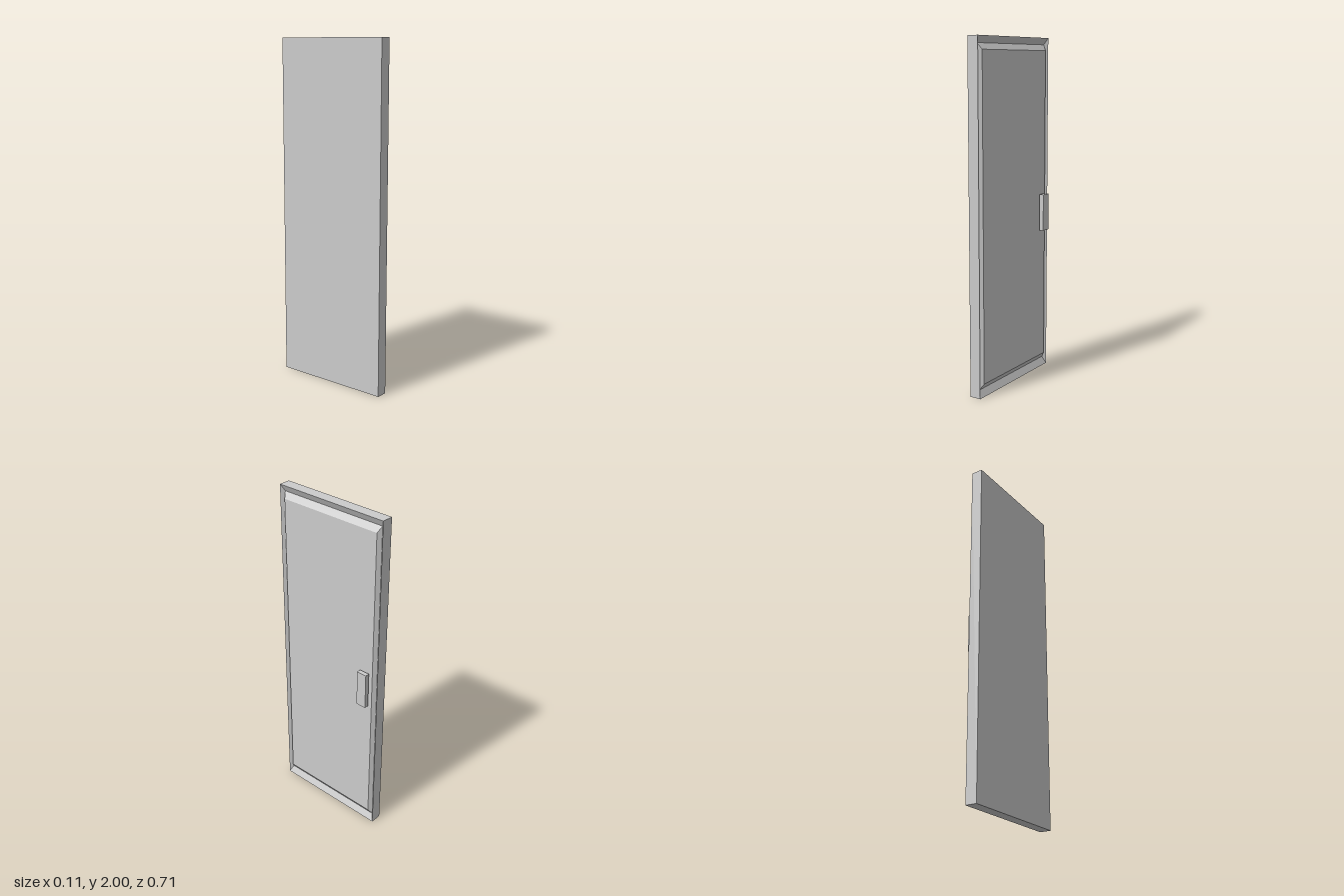
import * as THREE from 'three';

const material = new THREE.MeshStandardMaterial({
  color: 0xcccccc,
  flatShading: true,
});

// Joins rectangular rings [x, halfDepth, bottom, top] from back to front and caps both ends.
function loftRectangles(rings) {
  const corners = rings.map(([x, h, y0, y1]) => [
    [x, y0, h], [x, y0, -h], [x, y1, -h], [x, y1, h],
  ]);
  const positions = [];
  const quad = (a, b, c, d) => positions.push(...a, ...b, ...c, ...a, ...c, ...d);
  for (let r = 0; r < corners.length - 1; r++) {
    const a = corners[r], b = corners[r + 1];
    for (let i = 0; i < 4; i++) {
      const j = (i + 1) % 4;
      quad(a[i], a[j], b[j], b[i]);
    }
  }
  quad(...corners[corners.length - 1]);
  quad(...[...corners[0]].reverse());
  const geometry = new THREE.BufferGeometry();
  geometry.setAttribute('position', new THREE.Float32BufferAttribute(positions, 3));
  geometry.computeVertexNormals();
  return geometry;
}

export function createModel() {
  const door = new THREE.Group();
  door.name = 'door';

  // Door slab with a V-shaped groove around the raised panel on +x
  const slab = new THREE.Mesh(loftRectangles([
    [-0.055, 0.355, 0, 2],
    [0.012, 0.355, 0, 2],
    [-0.008, 0.336, 0.043, 1.961],
    [0.015, 0.32, 0.078, 1.927],
  ]), material);
  slab.name = 'doorSlab';
  door.add(slab);

  // Pull handle standing clear of the panel
  const handle = new THREE.Mesh(new THREE.BoxGeometry(0.026, 0.217, 0.062), material);
  handle.name = 'handle';
  handle.position.set(0.04, 0.977, -0.274);
  door.add(handle);

  return door;
}
